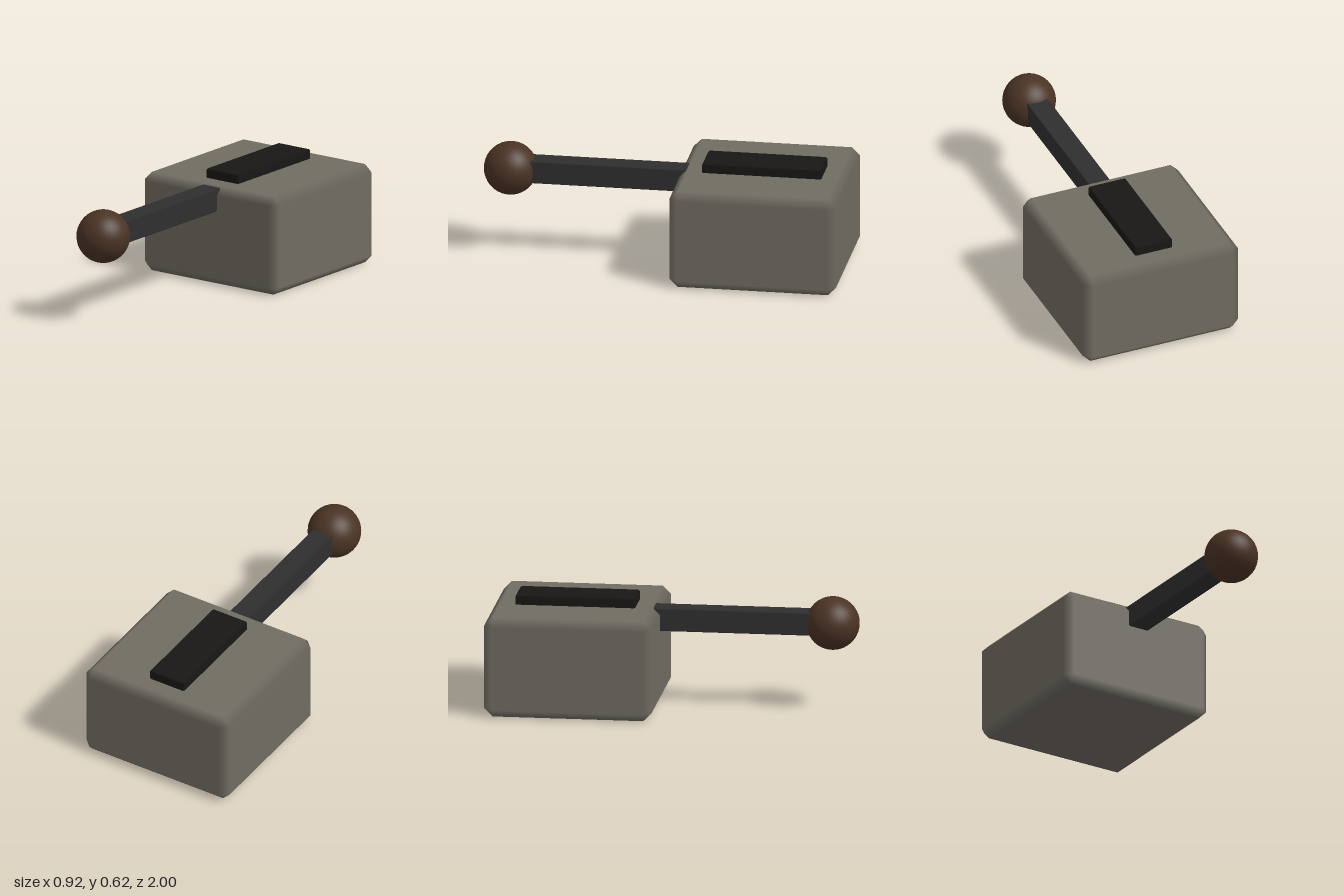
import * as THREE from 'three';
import { ConvexGeometry } from 'three/addons/geometries/ConvexGeometry.js';

// Box with chamfered edges; normals follow the faces so the chamfers shade softly.
function chamferBox(w, h, d, c) {
  const half = [w / 2, h / 2, d / 2];
  const points = [];
  for (const sx of [-1, 1]) for (const sy of [-1, 1]) for (const sz of [-1, 1]) {
    const s = [sx, sy, sz];
    for (let axis = 0; axis < 3; axis++) {
      const p = half.map((v, i) => s[i] * (i === axis ? v : v - c));
      points.push(new THREE.Vector3(...p));
    }
  }
  const geo = new ConvexGeometry(points);
  const pos = geo.attributes.position;
  for (let i = 0; i < pos.count; i++) {
    const p = [pos.getX(i), pos.getY(i), pos.getZ(i)];
    geo.attributes.normal.setXYZ(i, ...p.map((v, k) =>
      Math.abs(v) > half[k] - c * 0.5 ? Math.sign(v) : 0));
  }
  return geo;
}

function addPart(group, name, geometry, color, x, y, z) {
  const mesh = new THREE.Mesh(geometry, new THREE.MeshStandardMaterial({ color }));
  mesh.name = name;
  mesh.position.set(x, y, z);
  group.add(mesh);
}

export function createModel() {
  const group = new THREE.Group();
  group.name = 'lever';

  // Housing block at the back
  addPart(group, 'housing', chamferBox(0.916, 0.553, 0.915, 0.045), 0x706c62, 0, 0.2765, -0.5425);
  // Raised slot plate on top
  addPart(group, 'slotPlate', chamferBox(0.22, 0.11, 0.655, 0.008), 0x181715, 0, 0.55, -0.5425);
  // Arm running forward out of the housing into the knob
  addPart(group, 'arm', chamferBox(0.125, 0.126, 1.05, 0.006), 0x2f2f2f, 0, 0.481, 0.325);
  // Round knob
  addPart(group, 'knob', new THREE.SphereGeometry(0.146, 32, 20), 0x4a3324, 0, 0.479, 0.854);

  return group;
}
